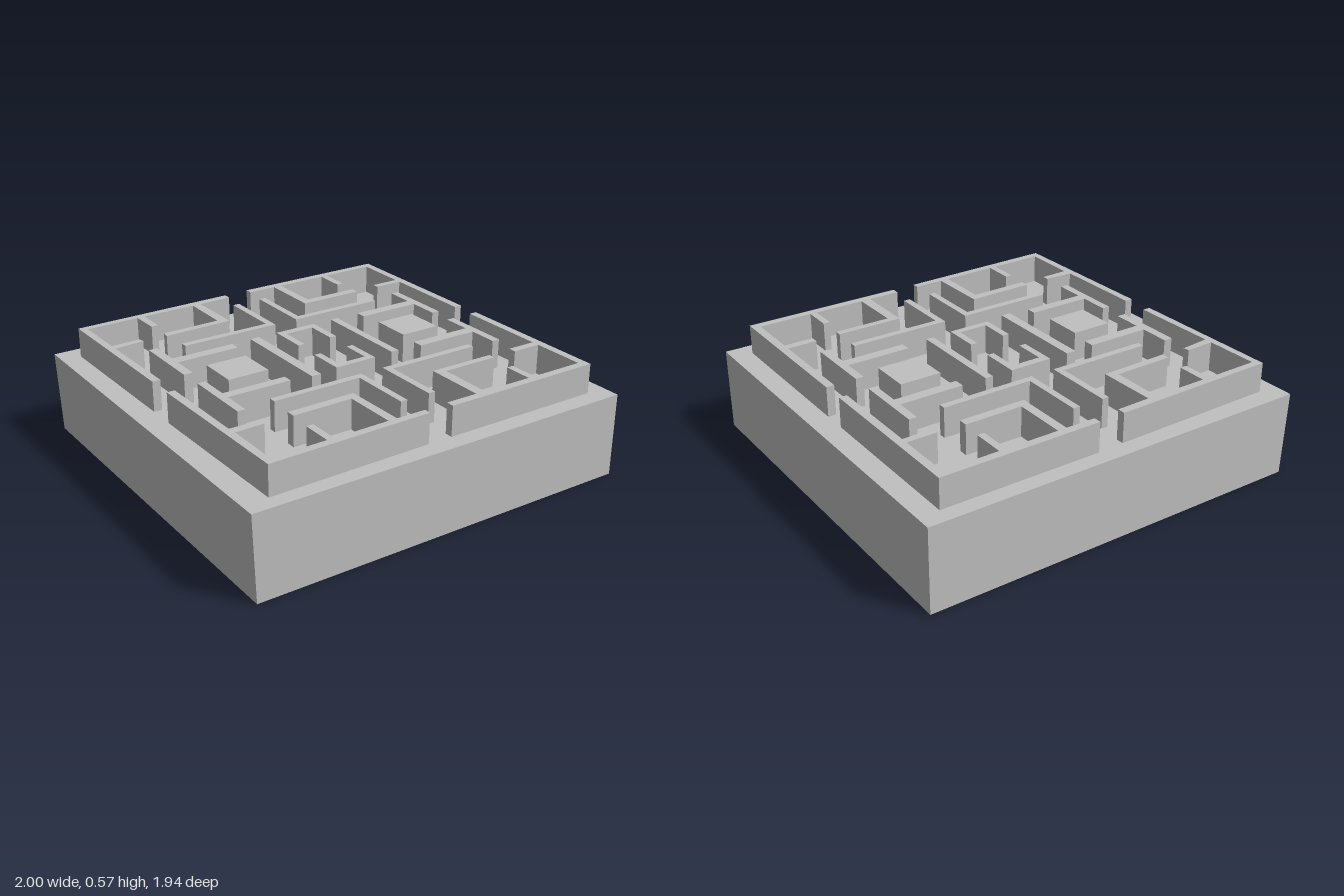
import * as THREE from 'three';

const BASE_TOP = 0.42;
const WALL_HEIGHT = 0.15;

// Upright prism from a flat list of x, z floor-plan points
function prism(name, plan, material) {
  const points = [];
  for (let i = 0; i < plan.length; i += 2) points.push(new THREE.Vector2(plan[i], -plan[i + 1]));
  const geometry = new THREE.ExtrudeGeometry(new THREE.Shape(points), { depth: WALL_HEIGHT, bevelEnabled: false });
  geometry.rotateX(-Math.PI / 2);
  geometry.translate(0, BASE_TOP, 0);
  const mesh = new THREE.Mesh(geometry, material);
  mesh.name = name;
  return mesh;
}

// Floor plans from simple measurements
const rect = (x0, x1, z0, z1) => [x0, z0, x1, z0, x1, z1, x0, z1];

// L: long arm from xEnd to xIn along zOut..zIn, short arm (xIn..xArm) reaching zEnd
const ell = (xEnd, xIn, xArm, zIn, zOut, zEnd) =>
  [xEnd, zIn, xIn, zIn, xIn, zEnd, xArm, zEnd, xArm, zOut, xEnd, zOut];

// T: upright xOut..xIn between z0 and z1, stem to xEnd between s0 and s1
const tee = (xOut, xIn, xEnd, z0, z1, s0, s1) =>
  [xOut, z0, xIn, z0, xIn, s0, xEnd, s0, xEnd, s1, xIn, s1, xIn, z1, xOut, z1];

// U: closed at zBack, open at zOpen
const cup = (zBack, zInner, zOpen) =>
  [-0.11, zBack, 0.11, zBack, 0.11, zOpen, 0.075, zOpen, 0.075, zInner,
    -0.075, zInner, -0.075, zOpen, -0.11, zOpen];

export function createModel() {
  const group = new THREE.Group();
  group.name = 'mazeBlock';
  const stone = new THREE.MeshStandardMaterial({ color: 0xc0c0c0 });
  stone.name = 'stone grey';

  // Base slab, its right side leaning in slightly at the bottom
  const slab = new THREE.BoxGeometry(2, BASE_TOP, 1.94);
  slab.translate(0, BASE_TOP / 2, 0);
  const pos = slab.attributes.position;
  for (let i = 0; i < pos.count; i++) {
    if (pos.getX(i) < 0 && pos.getY(i) < 0.01) pos.setX(i, -0.985);
  }
  slab.computeVertexNormals();
  const base = new THREE.Mesh(slab, stone);
  base.name = 'base';
  group.add(base);

  const plans = {
    // Outer corner walls with their inward spurs
    outerWallBackRight: [
      -0.9, -0.87, -0.05, -0.885, -0.05, -0.845, -0.225, -0.84, -0.22, -0.545,
      -0.58, -0.535, -0.575, -0.575, -0.27, -0.58, -0.27, -0.84, -0.55, -0.84,
      -0.55, -0.69, -0.585, -0.69, -0.59, -0.84, -0.865, -0.835, -0.86, -0.565,
      -0.71, -0.57, -0.705, -0.54, -0.86, -0.525, -0.85, -0.075, -0.89, -0.075],
    outerWallBackLeft: [
      0.085, -0.89, 0.895, -0.89, 0.895, -0.06, 0.855, -0.06, 0.855, -0.54,
      0.705, -0.54, 0.705, -0.575, 0.855, -0.575, 0.855, -0.85, 0.58, -0.85,
      0.58, -0.69, 0.545, -0.69, 0.545, -0.85, 0.28, -0.85, 0.28, -0.585,
      0.57, -0.585, 0.57, -0.54, 0.235, -0.54, 0.235, -0.85, 0.085, -0.85],
    outerWallFrontLeft: [
      0.07, 0.88, 0.895, 0.88, 0.895, 0.06, 0.855, 0.06, 0.855, 0.53,
      0.705, 0.53, 0.705, 0.57, 0.855, 0.57, 0.855, 0.84, 0.58, 0.84,
      0.58, 0.695, 0.545, 0.695, 0.545, 0.84, 0.285, 0.84, 0.285, 0.57,
      0.575, 0.57, 0.575, 0.535, 0.235, 0.535, 0.235, 0.84, 0.07, 0.84],
    outerWallFrontRight: [
      -0.875, 0.895, -0.055, 0.88, -0.055, 0.845, -0.205, 0.845, -0.21, 0.53,
      -0.555, 0.535, -0.555, 0.58, -0.25, 0.575, -0.25, 0.845, -0.53, 0.85,
      -0.53, 0.695, -0.565, 0.695, -0.565, 0.85, -0.84, 0.855, -0.84, 0.58,
      -0.695, 0.575, -0.695, 0.54, -0.845, 0.535, -0.85, 0.065, -0.89, 0.065],
    // Angled walls beside the front and back entrances
    cornerWallBackRight: ell(-0.565, -0.09, -0.055, -0.405, -0.37, -0.73),
    cornerWallBackLeft: ell(0.565, 0.105, 0.07, -0.405, -0.37, -0.73),
    cornerWallFrontRight: ell(-0.545, -0.09, -0.055, 0.41, 0.375, 0.72),
    cornerWallFrontLeft: ell(0.58, 0.1, 0.065, 0.41, 0.375, 0.72),
    // T walls beside the side entrances
    sideWallBackRight: tee(-0.735, -0.69, -0.365, -0.42, -0.065, -0.265, -0.21),
    sideWallBackLeft: tee(0.745, 0.705, 0.38, -0.41, -0.06, -0.27, -0.215),
    sideWallFrontRight: tee(-0.73, -0.69, -0.365, 0.055, 0.41, 0.21, 0.26),
    sideWallFrontLeft: tee(0.745, 0.705, 0.38, 0.06, 0.41, 0.205, 0.26),
    // Straight walls and cups round the centre
    straightWallRight: rect(-0.26, -0.21, -0.27, 0.275),
    straightWallLeft: rect(0.215, 0.255, -0.27, 0.245),
    centreCupBack: cup(-0.27, -0.23, -0.07),
    centreCupFront: cup(0.255, 0.22, 0.07),
    // Solid square blocks
    squareBlockRight: rect(-0.595, -0.385, -0.105, 0.1),
    squareBlockLeft: rect(0.395, 0.605, -0.105, 0.1),
  };
  for (const [name, plan] of Object.entries(plans)) group.add(prism(name, plan, stone));

  return group;
}
